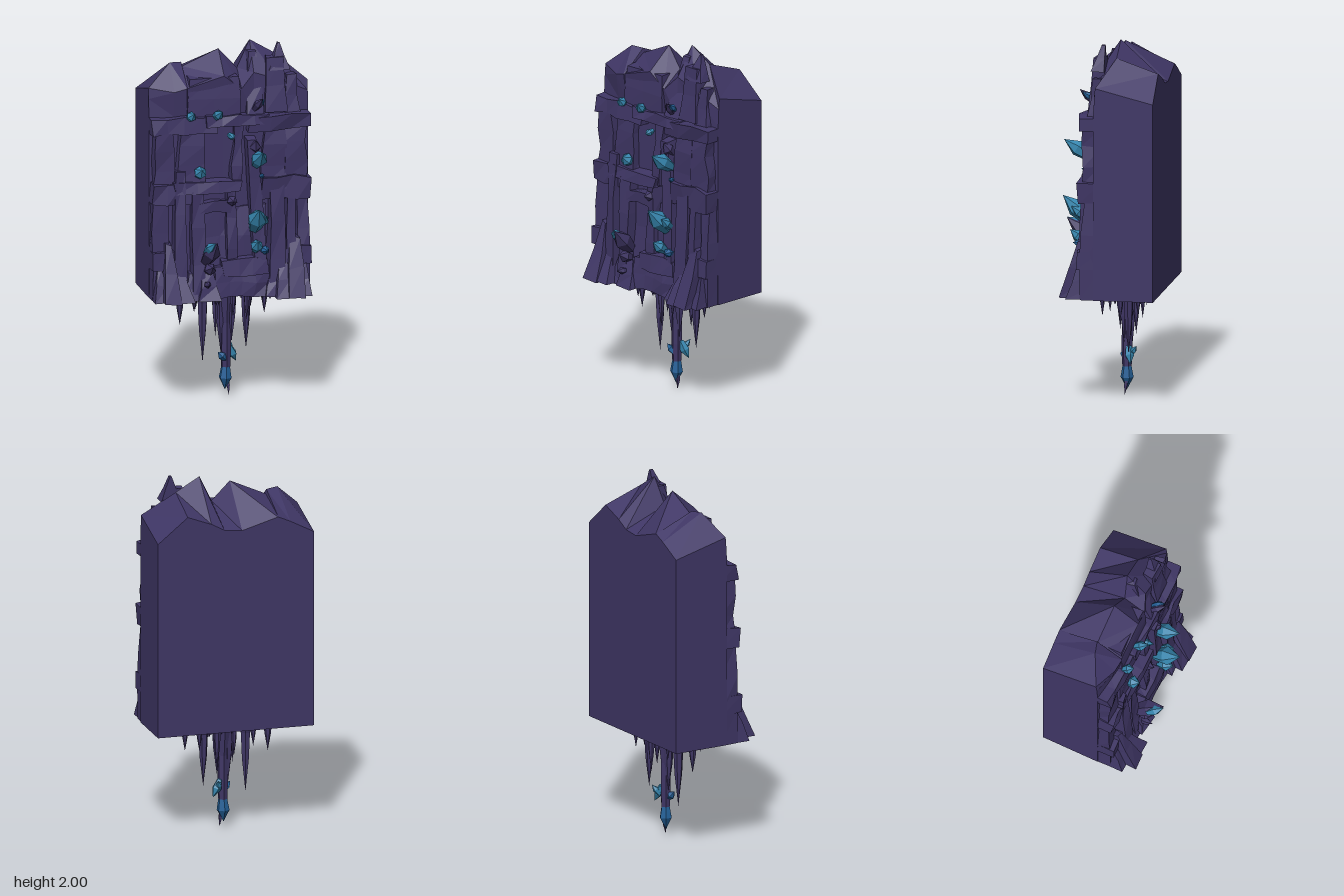
import * as THREE from 'three';

const HALF = 0.445, FLOOR = 0.6;

// repeatable value in -1..1
const noise = (...n) => {
  const s = Math.sin(n.reduce((t, v, i) => t + v * (12.99 + i * 37.71), 1.7)) * 43758.5453;
  return (s - Math.floor(s)) * 2 - 1;
};

function faceted(geo) {
  const flat = geo.index ? geo.toNonIndexed() : geo;
  flat.deleteAttribute('normal');
  flat.computeVertexNormals();
  return flat;
}

export function createModel() {
  const model = new THREE.Group();
  model.name = 'crystalCliff';
  const rock = new THREE.MeshStandardMaterial({ color: 0x3f3665 });
  rock.name = 'purple rock';
  const teal = new THREE.MeshStandardMaterial({ color: 0x3584ac });
  teal.name = 'teal crystal';
  const blue = new THREE.MeshStandardMaterial({ color: 0x235f96 });
  blue.name = 'blue crystal';

  const add = (name, geo, material) => {
    const mesh = new THREE.Mesh(faceted(geo), material);
    mesh.name = name;
    model.add(mesh);
    return mesh;
  };

  // Main block: x, back height, ridge height, ridge z, brow height, brow z, wall z, underside height
  const stations = [
    [-HALF, 1.7, 1.78, 0.03, 1.72, 0.035, 0.04, FLOOR],
    [-0.31, 1.77, 1.9, -0.04, 1.76, 0.08, 0.06, 0.74],
    [-0.242, 1.8, 1.895, -0.06, 1.78, 0.09, 0.07, 0.66],
    [-0.238, 1.8, 1.87, -0.06, 1.78, 0.085, 0.07, 0.66],
    [-0.035, 1.74, 1.96, -0.055, 1.84, 0.09, 0.06, 0.64],
    [0.065, 1.75, 1.85, -0.04, 1.76, 0.08, 0.06, 0.64],
    [0.14, 1.79, 2.0, -0.06, 1.84, 0.05, 0.06, 0.64],
    [0.275, 1.84, 1.92, -0.06, 1.8, 0.06, 0.06, 0.68],
    [HALF, 1.7, 1.78, 0.03, 1.72, 0.035, 0.04, FLOOR],
  ];
  const sections = stations.map(([x, by, ry, rz, fy, fz, wz, uy]) => [
    [x, FLOOR, -0.29], [x, by, -0.29], [x, ry, rz], [x, fy, fz], [x, 1.62, wz], [x, FLOOR, wz], [x, uy, -0.07],
  ]);
  const body = [];
  const tri = (a, b, c) => body.push(...a, ...b, ...c);
  for (let i = 0; i < sections.length - 1; i++) {
    const a = sections[i], b = sections[i + 1];
    for (let j = 0; j < 7; j++) {
      const k = (j + 1) % 7;
      tri(a[j], a[k], b[k]);
      tri(a[j], b[k], b[j]);
    }
  }
  const first = sections[0], last = sections[sections.length - 1];
  for (let j = 1; j < 5; j++) {
    tri(last[0], last[j], last[j + 1]);
    tri(first[0], first[j + 1], first[j]);
  }
  const bodyGeo = new THREE.BufferGeometry();
  bodyGeo.setAttribute('position', new THREE.Float32BufferAttribute(body, 3));
  add('mainBlock', bodyGeo, rock);

  // Rough slab: front depth runs from zb (bottom) to zt (top)
  let seed = 0;
  function slab(name, x0, x1, y0, y1, zb, zt, { taper = 0, lean = 0, rough = 0.012, nx = 1, ny = 2, z0 = 0 } = {}) {
    seed++;
    const geo = new THREE.BoxGeometry(1, 1, 1, nx, ny, 1);
    const p = geo.attributes.position;
    for (let i = 0; i < p.count; i++) {
      const u = p.getX(i), v = p.getY(i) + 0.5, w = p.getZ(i) + 0.5;
      const j = (n) => noise(u, v, w, seed, n) * rough;
      const x = (x0 + x1) / 2 + u * (x1 - x0) * (1 - taper * v) + lean * v + j(1);
      const y = y0 + (y1 - y0) * v + j(2);
      const z = z0 + (zb + (zt - zb) * v - z0) * w + j(3) * w;
      p.setXYZ(i, THREE.MathUtils.clamp(x, -HALF, HALF), Math.max(y, FLOOR), z);
    }
    return add(name, geo, rock);
  }

  // Standing shards on the crown
  slab('crownShard', 0.2, 0.32, 1.62, 1.92, 0.095, 0.06, { taper: 0.2, rough: 0.008 });
  slab('crownShard', 0.22, 0.34, 1.85, 1.995, 0.075, 0.02, { taper: 0.92, lean: 0.005, rough: 0.004 });
  slab('crownShard', 0.09, 0.2, 1.6, 1.95, 0.1, -0.02, { taper: 0.6, lean: -0.01, z0: -0.05 });
  slab('crownShard', 0.31, 0.39, 1.6, 1.82, 0.09, 0.05, { taper: 0.4 });
  slab('browRock', -0.24, 0.06, 1.6, 1.83, 0.095, 0.08, { nx: 2, taper: 0.1, rough: 0.006 });

  // Horizontal ledges
  slab('upperLedge', -HALF, -0.08, 1.53, 1.62, 0.115, 0.105, { nx: 4, ny: 1, rough: 0.008 });
  slab('upperLedge', -0.14, 0.22, 1.56, 1.62, 0.125, 0.115, { nx: 4, ny: 1, rough: 0.008 });
  slab('upperLedge', 0.1, HALF, 1.53, 1.61, 0.12, 0.125, { nx: 3, ny: 1 });
  slab('middleLedge', -HALF, -0.2, 1.14, 1.25, 0.12, 0.13, { nx: 3, ny: 1 });
  slab('middleLedge', -0.32, 0.05, 1.2, 1.26, 0.14, 0.13, { nx: 3, ny: 1, rough: 0.008 });
  slab('middleLedge', 0.17, HALF, 1.14, 1.26, 0.12, 0.13, { nx: 3, ny: 1 });
  slab('lowerLedge', -HALF, -0.29, 0.77, 0.87, 0.14, 0.135, { nx: 2, ny: 1, rough: 0.006 });
  slab('lowerLedge', 0.29, HALF, 0.77, 0.87, 0.14, 0.135, { nx: 2, ny: 1, rough: 0.006 });
  slab('lowerLedge', -0.06, 0.2, 0.73, 0.82, 0.16, 0.15, { nx: 3, ny: 1 });

  // Wall pillars: x0, x1, y0, y1, front z at bottom, front z at top, lean
  [
    [-HALF, -0.33, FLOOR, 1.16, 0.12, 0.1, 0], [-0.43, -0.31, 1.22, 1.55, 0.1, 0.1, 0],
    [-0.33, -0.25, FLOOR, 1.32, 0.16, 0.13, 0], [-0.31, -0.14, 1.24, 1.57, 0.11, 0.1, 0.01],
    [-0.23, -0.16, FLOOR, 1.2, 0.16, 0.13, 0.01],
    [-0.03, 0.03, 0.7, 1.22, 0.13, 0.12, 0], [0.0, 0.06, 1.2, 1.58, 0.12, 0.1, 0.02],
    [0.12, 0.2, 0.8, 1.49, 0.15, 0.12, -0.05], [0.16, 0.3, 1.2, 1.57, 0.12, 0.1, 0.02],
    [0.2, 0.29, FLOOR, 1.22, 0.16, 0.13, 0.01], [0.3, 0.36, FLOOR, 1.16, 0.16, 0.12, 0.01],
    [0.36, HALF, FLOOR, 1.15, 0.12, 0.1, 0], [0.3, 0.43, 1.24, 1.55, 0.11, 0.1, 0],
  ].forEach(([x0, x1, y0, y1, zb, zt, lean]) =>
    slab('wallPillar', x0, x1, y0, y1, zb, zt, { lean, taper: 0.2, ny: 3, rough: 0.01 }));
  slab('nicheBeam', -0.2, 0.0, 1.08, 1.14, 0.13, 0.13, { nx: 2, ny: 1 });
  slab('nicheBack', -0.2, 0.2, FLOOR, 1.1, 0.11, 0.08, { nx: 3, ny: 3 });

  // Flared rocks along the foot, mirrored
  for (const s of [-1, 1]) {
    [[0.39, 0.08, 0.78, 0.19], [0.345, 0.1, 0.92, 0.245], [0.28, 0.1, 0.8, 0.23], [0.22, 0.07, 0.74, 0.185]]
      .forEach(([x, w, top, z]) => slab('footRock', s * x - w / 2, s * x + w / 2, FLOOR, top, z, 0.13,
        { taper: 0.6, lean: s * 0.01, rough: 0.012 }));
  }
  slab('footRock', -0.19, -0.08, FLOOR, 0.75, 0.2, 0.15, { taper: 0.4 });
  slab('footSill', -0.1, 0.2, FLOOR, 0.77, 0.165, 0.14, { nx: 4 });

  // Crystal: gem growing from a point along a direction
  const up = new THREE.Vector3(0, 1, 0);
  function crystal(name, at, tip, r, material, sides = 6) {
    const dir = new THREE.Vector3(...tip).sub(new THREE.Vector3(...at));
    const len = dir.length();
    const profile = [[0, 0], [r * 0.65, len * 0.08], [r, len * 0.55], [0, len]].map((q) => new THREE.Vector2(...q));
    const mesh = add(name, new THREE.LatheGeometry(profile, sides), material);
    mesh.quaternion.setFromUnitVectors(up, dir.normalize());
    mesh.position.set(...at);
  }
  [
    [[0.13, 0.97, 0.1], [0.125, 1.12, 0.265], 0.052, teal], [[0.16, 1.0, 0.12], [0.175, 1.07, 0.21], 0.03, teal],
    [[0.13, 0.86, 0.13], [0.125, 0.93, 0.225], 0.035, teal], [[0.17, 0.86, 0.12], [0.185, 0.87, 0.2], 0.025, blue],
    [[0.14, 1.33, 0.09], [0.145, 1.435, 0.255], 0.045, teal], [[0.16, 1.27, 0.1], [0.175, 1.28, 0.155], 0.013, blue],
    [[-0.18, 1.29, 0.09], [-0.175, 1.335, 0.165], 0.036, teal], [[-0.235, 1.61, 0.09], [-0.215, 1.65, 0.15], 0.028, teal],
    [[-0.09, 1.6, 0.08], [-0.06, 1.66, 0.165], 0.028, teal], [[-0.01, 1.51, 0.09], [0.005, 1.505, 0.165], 0.02, teal],
    [[0.15, 1.66, 0.08], [0.178, 1.71, 0.15], 0.02, blue],
  ].forEach(([a, t, r, m]) => crystal('wallCrystal', a, t, r, m));
  // Dull crystals and knobs of plain rock
  [
    [[-0.15, 0.8, 0.12], [-0.115, 0.95, 0.285], 0.05], [[-0.14, 0.76, 0.13], [-0.13, 0.8, 0.235], 0.035],
    [[-0.15, 0.69, 0.15], [-0.15, 0.7, 0.23], 0.02], [[0, 1.14, 0.09], [0, 1.15, 0.17], 0.03],
    [[0.13, 1.63, 0.07], [0.165, 1.72, 0.165], 0.024], [[0.13, 1.4, 0.08], [0.13, 1.48, 0.15], 0.035],
  ].forEach(([a, t, r]) => crystal('rockCrystal', a, t, r, rock, 5));
  crystal('wallCrystal', [-0.165, 0.88, 0.2], [-0.125, 0.95, 0.284], 0.028, teal, 5);

  // Stalactites: x, z, tip height, radius
  function stalactite(x, z, tip, r) {
    const len = 0.66 - tip;
    const profile = [[0, 0], [r * 0.45, len * 0.4], [r * 0.6, len * 0.72], [r * 1.3, len]];
    const mesh = add('stalactite', new THREE.LatheGeometry(profile.map((q) => new THREE.Vector2(...q)), 6), rock);
    mesh.position.set(x, tip, z);
    mesh.rotation.y = x * 20;
  }
  [
    [-0.25, -0.06, 0.41, 0.04], [-0.12, -0.07, 0.19, 0.048], [0.13, -0.1, 0.25, 0.045], [0.225, -0.07, 0.45, 0.035],
    [-0.19, 0.03, 0.5, 0.03], [-0.06, -0.02, 0.35, 0.035], [0.06, -0.13, 0.35, 0.035], [-0.03, -0.15, 0.42, 0.03],
    [0.1, 0.05, 0.45, 0.03], [0.17, -0.16, 0.47, 0.03], [-0.14, -0.15, 0.47, 0.03], [0.03, 0.02, 0.46, 0.03],
    [-0.02, -0.07, 0.25, 0.05], [0.04, -0.06, 0.3, 0.05],
  ].forEach((s) => stalactite(...s));
  for (let i = 0; i < 20; i++)
    stalactite(noise(i, 1) * 0.26, -0.08 + noise(i, 2) * 0.13, 0.55 + noise(i, 3) * 0.03, 0.045);

  // Central hanging column with its crystal tip
  const column = [[0.026, 0], [0.03, 0.1], [0.028, 0.25], [0.06, 0.5]].map((q) => new THREE.Vector2(...q));
  add('hangingColumn', new THREE.LatheGeometry(column, 6), rock).position.set(0.01, 0.16, -0.07);
  crystal('tipCrystal', [0.01, 0.18, -0.07], [0.005, 0.03, -0.07], 0.036, blue);
  crystal('tipSpike', [0.02, 0.12, -0.075], [0.025, 0, -0.06], 0.012, rock, 4);
  crystal('tipCrystal', [0.025, 0.28, -0.08], [0.075, 0.18, -0.1], 0.026, teal, 5);
  crystal('tipCrystal', [0.03, 0.22, -0.09], [0.055, 0.28, -0.13], 0.018, teal, 5);
  crystal('tipCrystal', [0.01, 0.2, -0.06], [-0.04, 0.25, -0.045], 0.024, blue, 5);
  return model;
}
